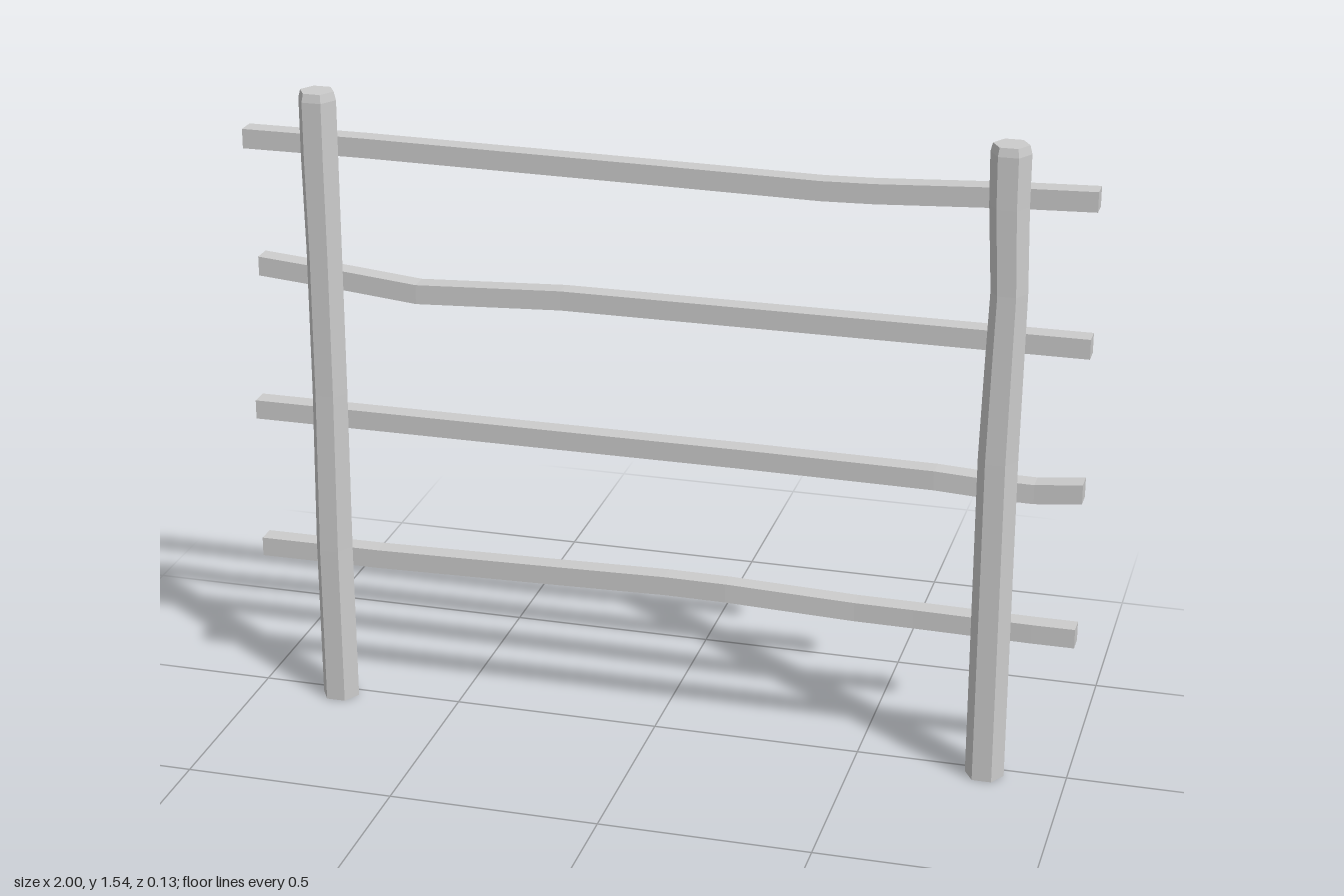
import * as THREE from 'three';

const material = new THREE.MeshStandardMaterial({ color: 0xcccccc, flatShading: true });

// Skin a row of equal-sized closed loops and cap both ends
function loft(name, rings) {
  const n = rings[0].length;
  const index = [];
  const last = (rings.length - 1) * n;
  for (let r = 0; r < rings.length - 1; r++) {
    for (let i = 0; i < n; i++) {
      const a = r * n + i, b = r * n + (i + 1) % n;
      index.push(a, b, b + n, a, b + n, a + n);
    }
  }
  for (let i = 1; i < n - 1; i++) {
    index.push(0, i + 1, i, last, last + i, last + i + 1);
  }
  const indexed = new THREE.BufferGeometry();
  indexed.setAttribute('position', new THREE.Float32BufferAttribute(rings.flat(2), 3));
  indexed.setIndex(index);
  const geometry = indexed.toNonIndexed();
  geometry.computeVertexNormals();
  const mesh = new THREE.Mesh(geometry, material);
  mesh.name = name;
  return mesh;
}

// Six-sided post; stations are [x, y, radius]
function post(name, stations) {
  return loft(name, stations.map(([x, y, r]) =>
    Array.from({ length: 6 }, (_, i) => {
      const a = i * Math.PI / 3;
      return [x + r * Math.cos(a), y, 0.0285 - r * Math.sin(a)];
    })));
}

// Square rail; stations are [x, y, sideways bend]
function rail(name, stations) {
  const h = 0.0235;
  const corners = [[-h, h], [-h, -h], [h, -h], [h, h]];
  return loft(name, stations.map(([x, y, bend = 0]) =>
    corners.map(([dy, dz]) => [x, y + dy, -0.032 + bend + dz])));
}

export function createModel() {
  const group = new THREE.Group();
  group.name = 'fence';

  // Slightly crooked posts with a small bevel at the top
  group.add(post('rightPost', [
    [-0.795, 0, 0.046], [-0.797, 0.4, 0.046], [-0.793, 0.8, 0.044],
    [-0.793, 1.15, 0.044], [-0.795, 1.38, 0.046], [-0.795, 1.52, 0.046], [-0.795, 1.54, 0.041],
  ]));
  group.add(post('leftPost', [
    [0.81, 0, 0.046], [0.81, 0.8, 0.046], [0.815, 1.03, 0.044],
    [0.819, 1.2, 0.042], [0.811, 1.4, 0.045], [0.81, 1.52, 0.046], [0.81, 1.54, 0.041],
  ]));

  // Bent rails on the back of the posts, lowest first
  const rails = [
    [[-1, 0.356], [-0.7, 0.357], [-0.25, 0.366], [0.02, 0.372], [0.17, 0.371],
      [0.48, 0.357, -0.008], [0.62, 0.356, -0.008], [0.9, 0.356], [1, 0.356]],
    [[-1, 0.718], [0.2, 0.718], [0.66, 0.718, 0.008], [0.8, 0.709, 0.004], [0.89, 0.706], [1, 0.718]],
    [[-0.975, 1.086], [-0.75, 1.069, 0.005], [-0.58, 1.054, 0.009], [-0.23, 1.068], [1, 1.068]],
    [[-1, 1.398], [-0.7, 1.398], [0, 1.39], [0.38, 1.385], [0.5, 1.388], [0.82, 1.405], [1, 1.411]],
  ];
  rails.forEach((stations, i) => group.add(rail(`rail${i + 1}`, stations)));

  return group;
}
